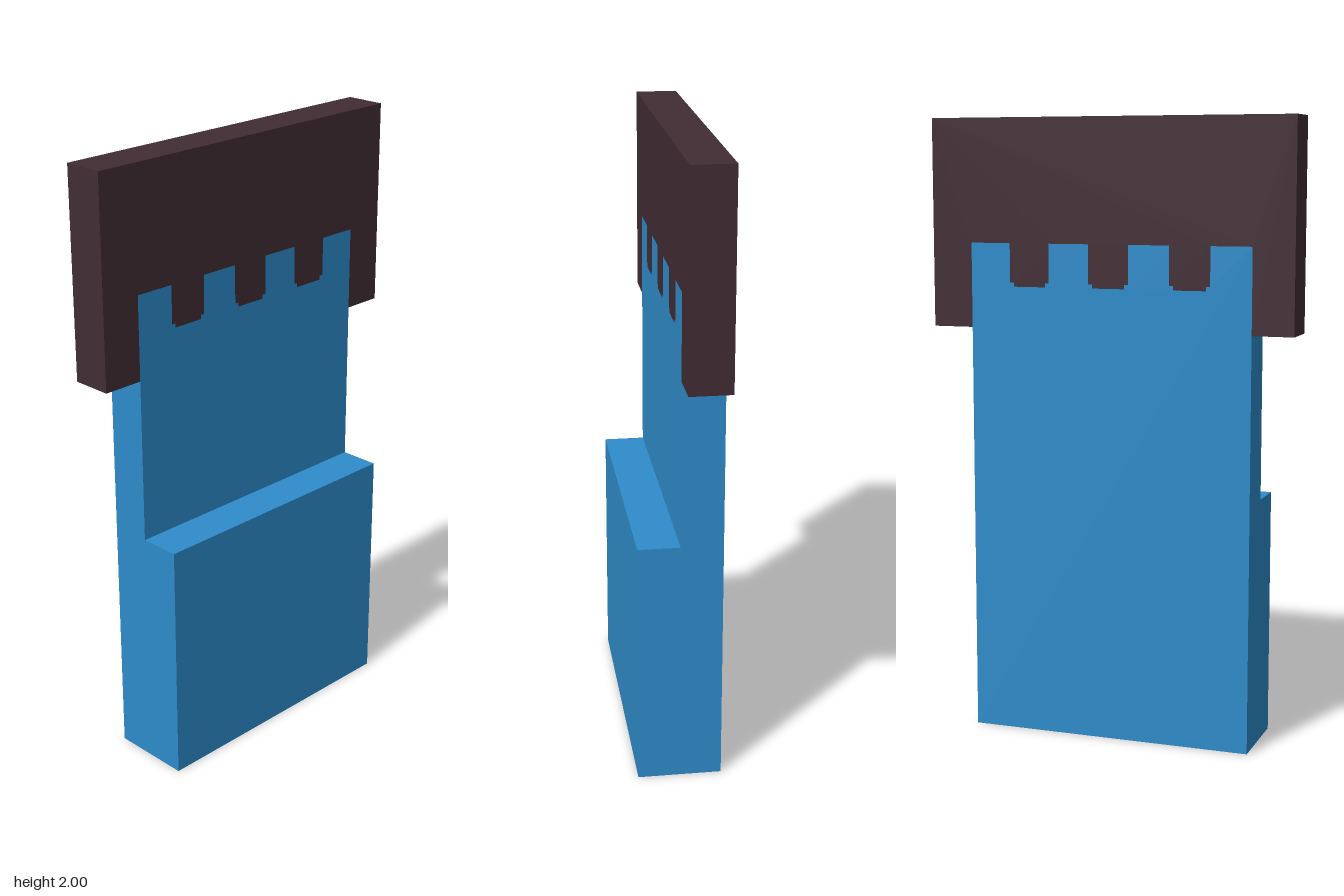
import * as THREE from 'three';

const W = 0.6, HALF = 0.4667;        // half widths of the cap and the blade
const T = 0.1333;                    // thickness of each layer
const CAP_LOW = 1.3333, TOOTH_TOP = 1.605, NOTCH = 1.4667, STEP = 0.0133;

// Battlement line from left to right: four teeth, three notches with stepped corners
function battlement() {
  const pts = [[-HALF, TOOTH_TOP]];
  for (const c of [-0.2667, 0, 0.2667]) {
    const a = c - T / 2, b = c + T / 2;
    pts.push([a, TOOTH_TOP], [a, NOTCH + STEP], [a + STEP, NOTCH + STEP], [a + STEP, NOTCH],
      [b - STEP, NOTCH], [b - STEP, NOTCH + STEP], [b, NOTCH + STEP], [b, TOOTH_TOP]);
  }
  pts.push([HALF, TOOTH_TOP]);
  return pts;
}

// Flat slab from an outline, reaching from z = -T to z = 0
function slab(name, points, material) {
  const shape = new THREE.Shape(points.map(([x, y]) => new THREE.Vector2(x, y)));
  const geometry = new THREE.ExtrudeGeometry(shape, { depth: T, bevelEnabled: false });
  geometry.translate(0, 0, -T);
  const mesh = new THREE.Mesh(geometry, material);
  mesh.name = name;
  return mesh;
}

export function createModel() {
  const blue = new THREE.MeshStandardMaterial({ color: 0x2e8ccb });
  blue.name = 'blue';
  const dark = new THREE.MeshStandardMaterial({ color: 0x422d35 });
  dark.name = 'dark plum';

  const group = new THREE.Group();
  group.name = 'notchedPanel';
  const line = battlement();

  // Tall blue panel whose teeth interlock with the cap
  group.add(slab('backPanel', [[HALF, 0], ...line.slice().reverse(), [-HALF, 0]], blue));

  // Dark cap filling the notches and overhanging both sides
  group.add(slab('cap', [[-W, CAP_LOW], [-HALF, CAP_LOW], ...line, [HALF, CAP_LOW],
    [W, CAP_LOW], [W, 2], [-W, 2]], dark));

  // Thick lower front block
  const block = new THREE.Mesh(new THREE.BoxGeometry(2 * HALF, 0.8, T), blue);
  block.name = 'frontBlock';
  block.position.set(0, 0.4, T / 2);
  group.add(block);

  return group;
}
